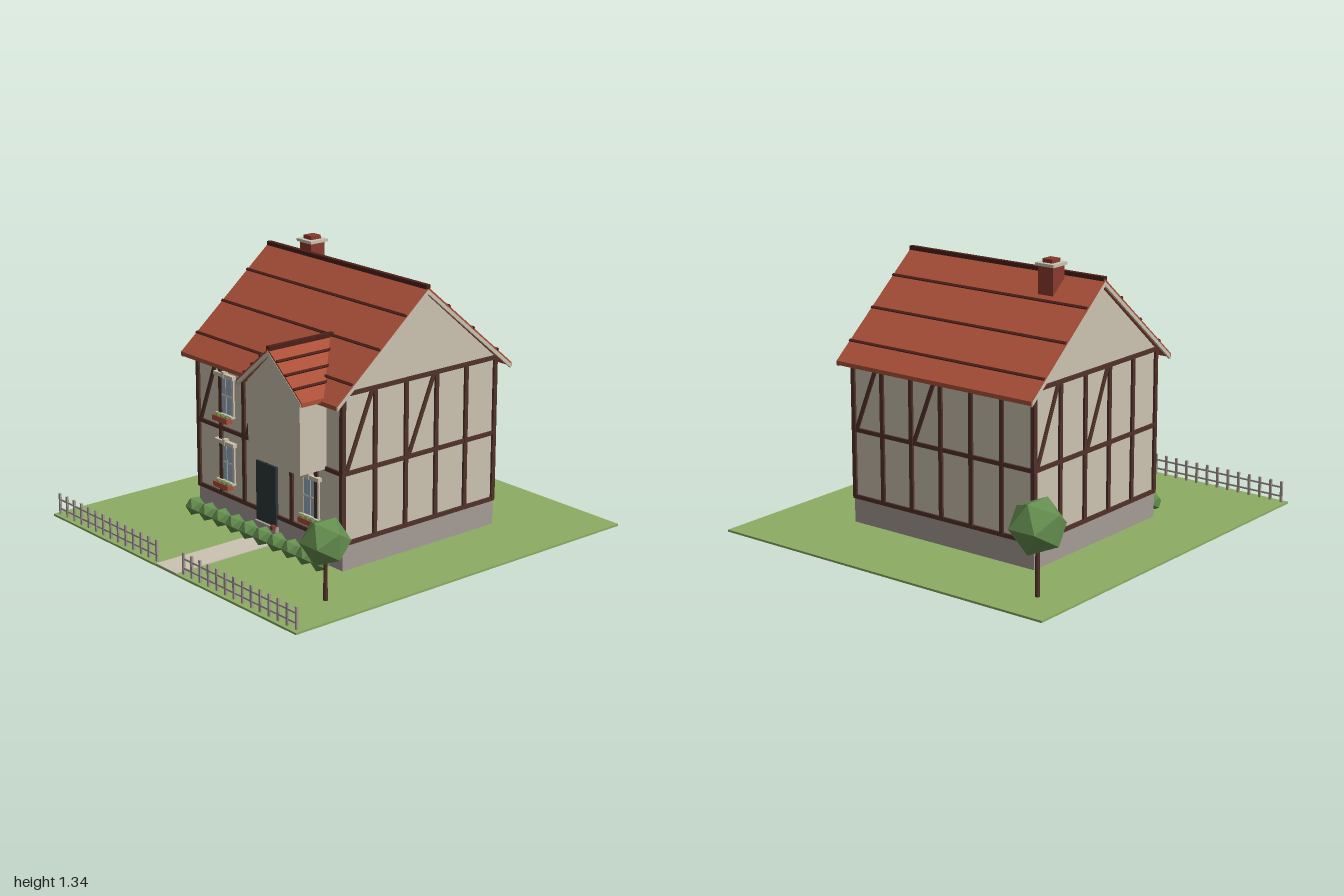
import * as THREE from 'three';

const mat = (name, color) => {
  const m = new THREE.MeshStandardMaterial({ color });
  m.name = name;
  return m;
};

export function createModel() {
  const grass = mat('grass', 0x8dad62), plaster = mat('plaster', 0xcbc3b1);
  const timber = mat('timber', 0x50322a), stone = mat('stone', 0xa59c95);
  const tile = mat('roof tile', 0xab5039), brick = mat('brick', 0x8a3a2d);
  const darkTile = mat('dark tile', 0x4c2019), glass = mat('glass', 0x96afc6);
  const doorPaint = mat('door paint', 0x2c3838), foliage = mat('foliage', 0x648d4e);
  foliage.flatShading = true;

  const model = new THREE.Group();
  model.name = 'cottage';

  const add = (parent, name, geometry, material, x = 0, y = 0, z = 0) => {
    const mesh = new THREE.Mesh(geometry, material);
    mesh.name = name;
    mesh.position.set(x, y, z);
    parent.add(mesh);
    return mesh;
  };
  const box = (parent, name, material, w, h, d, x, y, z) =>
    add(parent, name, new THREE.BoxGeometry(w, h, d), material, x, y, z);
  const group = (parent, name, x = 0, y = 0, z = 0, turn = 0) => {
    const g = new THREE.Group();
    g.name = name;
    g.position.set(x, y, z);
    g.rotation.y = turn;
    parent.add(g);
    return g;
  };
  // Outline in x and y, extruded along z and centred on z = 0
  const prism = (points, depth) => new THREE.ExtrudeGeometry(
    new THREE.Shape(points.map(([x, y]) => new THREE.Vector2(x, y))),
    { depth, bevelEnabled: false }).translate(0, 0, -depth / 2);
  const gabled = (half, bottom, eave, apex) =>
    [[-half, bottom], [half, bottom], [half, eave], [0, apex], [-half, eave]];
  const chevron = (half, eave, apex, t) =>
    [[-half, eave], [-half, eave - t], [0, apex - t], [half, eave - t], [half, eave], [0, apex]];

  // Garden and path
  box(model, 'lawn', grass, 1.87, 0.01, 2, 0, 0.005, 0);
  box(model, 'path', plaster, 0.156, 0.004, 0.6, 0, 0.012, 0.7);

  // House walls on a stone base
  const cz = -0.067, halfX = 0.535, halfZ = 0.468;
  const house = group(model, 'house', 0, 0, cz);
  box(house, 'stoneBase', stone, 1.08, 0.13, 0.945, 0, 0.075, 0);
  add(house, 'walls', prism(gabled(halfZ, 0.135, 0.85, 1.245), halfX * 2), plaster)
    .rotation.y = Math.PI / 2;

  // Timber frame: posts, rails and two braces on each wall
  const levels = [0.14, 0.473, 0.845];
  const timberWall = (name, width, bays, x, z, turn) => {
    const wall = group(house, name, x, 0, z, turn);
    const step = width / bays;
    for (const y of levels) box(wall, 'rail', timber, width + 0.02, 0.02, 0.02, 0, y, 0);
    for (let i = 0; i <= bays; i++)
      box(wall, 'post', timber, 0.021, 0.705, 0.022, -width / 2 + i * step, 0.4925, 0);
    for (const i of [0, 2]) {
      const rise = levels[2] - levels[1], run = step - 0.03;
      box(wall, 'brace', timber, 0.019, Math.hypot(rise, run), 0.018,
        -width / 2 + (i + 0.5) * step, (levels[1] + levels[2]) / 2, 0)
        .rotation.z = -Math.atan2(run, rise);
    }
  };
  timberWall('frontFrame', 1.068, 6, 0, halfZ, 0);
  timberWall('backFrame', 1.068, 6, 0, -halfZ, Math.PI);
  timberWall('rightFrame', 0.936, 5, halfX, 0, Math.PI / 2);
  timberWall('leftFrame', 0.936, 5, -halfX, 0, -Math.PI / 2);

  // Gabled roof with tile courses, ridge cap and bargeboards
  const roof = (parent, name, o) => {
    const g = group(parent, name, o.x, 0, o.z, o.turn);
    const slope = Math.atan2(o.apex - o.eave, o.half);
    add(g, 'tiles', prism(chevron(o.half, o.eave, o.apex, 0.02), o.length), tile);
    for (const d of o.courses) for (const s of [-1, 1])
      box(g, 'course', darkTile, 0.012, 0.012, o.length, s * d,
        o.apex - d * Math.tan(slope) + 0.001, 0).rotation.z = -s * slope;
    box(g, 'ridgeCap', darkTile, 0.024, 0.02, o.length, 0, o.apex, 0);
    for (const s of o.ends)
      add(g, 'bargeboard', prism(chevron(o.half - 0.006, o.eave - 0.005, o.apex - 0.012, 0.021), 0.012),
        plaster, 0, 0, s * (o.length / 2 - 0.004));
  };
  roof(house, 'mainRoof', { x: 0, z: 0, turn: Math.PI / 2, half: 0.541, eave: 0.815, apex: 1.268,
    length: 1.15, courses: [0.135, 0.29, 0.447], ends: [-1, 1] });

  // Projecting front bay with its own gable
  const bay = group(model, 'frontBay', 0.236);
  add(bay, 'bayWalls', prism(gabled(0.187, 0.47, 0.835, 1.005), 0.21), plaster, 0, 0, 0.451);
  roof(bay, 'bayRoof', { x: 0, z: 0.395, turn: 0, half: 0.237, eave: 0.828, apex: 1.027,
    length: 0.38, courses: [0.06, 0.12, 0.18], ends: [1] });

  // Chimney
  const chimney = group(model, 'chimney', -0.322, 0, -0.134);
  box(chimney, 'stack', brick, 0.085, 0.2, 0.085, 0, 1.21, 0);
  box(chimney, 'cap', plaster, 0.106, 0.014, 0.106, 0, 1.317, 0);
  box(chimney, 'flue', brick, 0.056, 0.02, 0.06, 0, 1.332, 0);

  // Windows with lintel, glazing bars and flower box
  const frontZ = cz + halfZ;
  const windowAt = (x, y) => {
    const w = group(model, 'window', x, y, frontZ);
    box(w, 'pane', glass, 0.1, 0.19, 0.006, 0, 0, 0.002);
    for (const s of [-1, 1]) box(w, 'jamb', plaster, 0.014, 0.2, 0.016, s * 0.055, 0, 0.001);
    box(w, 'glazingBar', plaster, 0.1, 0.008, 0.01, 0, 0, 0.002);
    box(w, 'mullion', plaster, 0.005, 0.19, 0.01, 0, 0, 0.002);
    box(w, 'lintel', plaster, 0.15, 0.018, 0.03, 0, 0.103, 0.008);
    box(w, 'keystone', plaster, 0.022, 0.03, 0.034, 0, 0.107, 0.008);
    box(w, 'sill', plaster, 0.13, 0.01, 0.03, 0, -0.095, 0.008);
    box(w, 'flowerBox', tile, 0.115, 0.026, 0.036, Math.sign(x) * 0.006, -0.112, 0.024);
    for (const s of [-1, 0, 1])
      add(w, 'flowers', new THREE.IcosahedronGeometry(0.014, 0), foliage, s * 0.036, -0.098, 0.026);
  };
  windowAt(-0.315, 0.64);
  windowAt(-0.315, 0.305);
  windowAt(0.315, 0.305);

  // Front door and step
  box(model, 'door', doorPaint, 0.147, 0.295, 0.03, -0.003, 0.2375, frontZ);
  box(model, 'doorStep', stone, 0.16, 0.075, 0.03, 0, 0.05, frontZ + 0.01);
  box(model, 'flowerPot', brick, 0.022, 0.02, 0.022, 0.068, 0.09, frontZ + 0.03);

  // Faceted trees and hedge
  const crown = (parent, name, r, x, y, z) =>
    add(parent, name, new THREE.IcosahedronGeometry(r, 0).rotateZ(Math.PI / 2), foliage, x, y, z);
  for (const [x, z, y, r] of [[-0.75, -0.788, 0.333, 0.135], [0.745, 0.678, 0.285, 0.115]]) {
    const tree = group(model, 'tree', x, 0, z);
    add(tree, 'trunk', new THREE.CylinderGeometry(0.009, 0.011, y, 6), timber, 0, y / 2, 0);
    crown(tree, 'crown', r, 0, y, 0);
  }
  for (let i = 0; i < 10; i++) crown(model, 'bush', 0.049, -0.48 + i * 0.1057, 0.056, 0.478);

  // Picket fence either side of the path
  for (const s of [-1, 1]) {
    const fence = group(model, 'fence', s * 0.507, 0, 0.975);
    for (const y of [0.04, 0.086]) box(fence, 'rail', stone, 0.82, 0.008, 0.006, 0, y, 0);
    for (let i = 0; i < 14; i++)
      box(fence, 'picket', stone, 0.012, 0.108, 0.01, -0.403 + i * 0.062, 0.062, 0);
  }
  return model;
}
